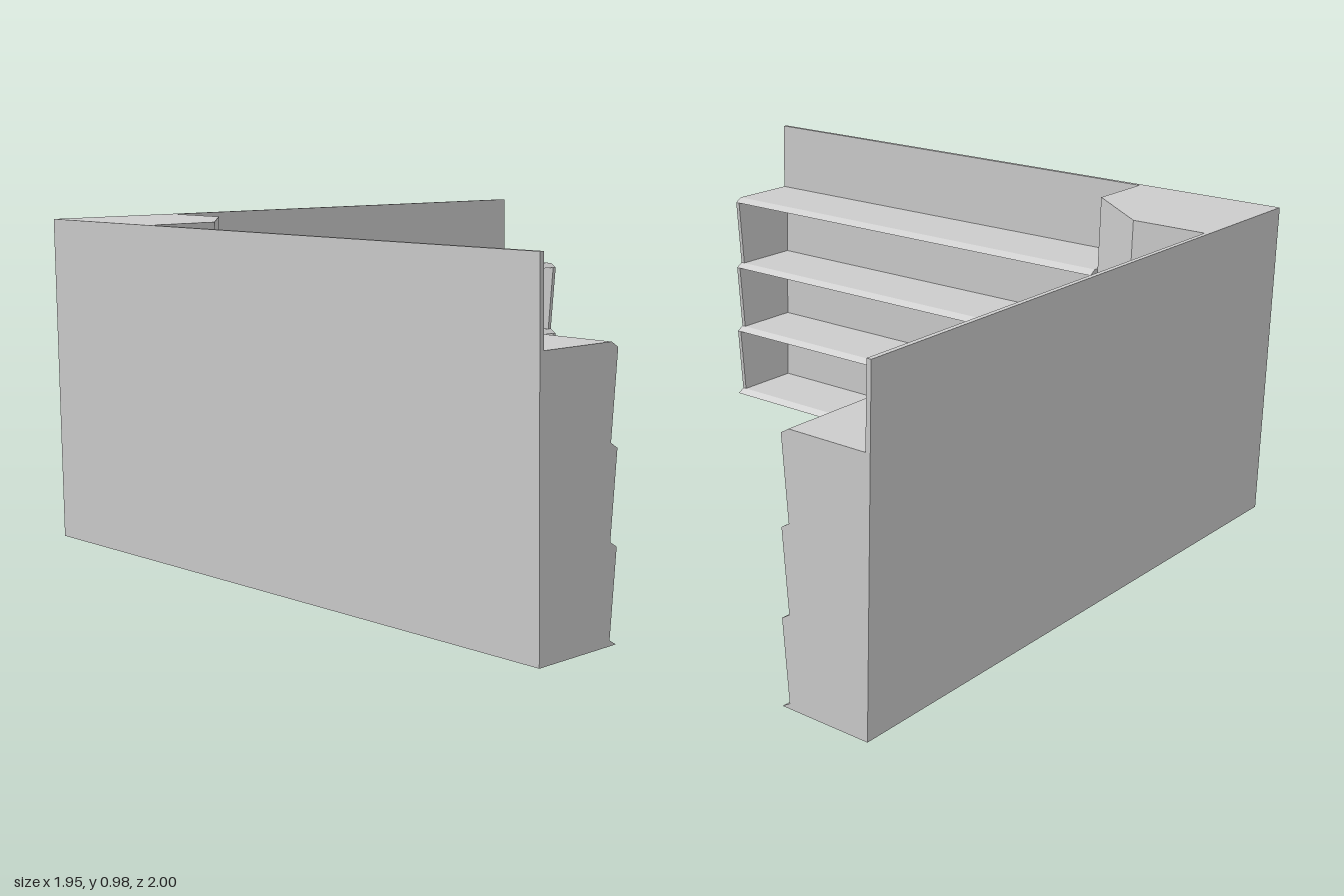
import * as THREE from 'three';

const HEIGHT = 0.977, LENGTH = 1.518, T = 0.014;
const DEPTH = 0.252, TIP = 0.276;              // shelf top depth, lip depth
const SHELF_TOPS = [0.015, 0.26, 0.504, 0.749];
const SHELF_T = 0.015;

const material = new THREE.MeshStandardMaterial({ color: 0xcccccc });

function part(name, geometry) {
  const mesh = new THREE.Mesh(geometry, material);
  mesh.name = name;
  return mesh;
}

function polygon(points) {
  return new THREE.Shape(points.map(([x, y]) => new THREE.Vector2(x, y)));
}

// Extrudes a (depth, height) profile along x, from x0 to x1
function extrudeAlongX(points, x0, x1) {
  const geometry = new THREE.ExtrudeGeometry(polygon(points), { depth: x1 - x0, bevelEnabled: false });
  return geometry.rotateY(-Math.PI / 2).translate(x1, 0, 0);
}

// Wall unit running along x, back at z = 0, opening towards +z
function createShelfUnit(name, panelAtStart) {
  const unit = new THREE.Group();
  unit.name = name;

  const back = new THREE.BoxGeometry(LENGTH, HEIGHT, T).translate(LENGTH / 2, HEIGHT / 2, T / 2);
  unit.add(part('backPanel', back));

  // Shelves with a bevelled front lip
  const start = panelAtStart ? T : 0;
  const end = panelAtStart ? LENGTH : LENGTH - T;
  for (const top of SHELF_TOPS) {
    const bottom = top - SHELF_T;
    const profile = [[T, bottom], [TIP, bottom], [DEPTH, top], [T, top]];
    unit.add(part('shelf', extrudeAlongX(profile, start, end)));
  }

  // End panel whose front edge steps out to each shelf lip
  const outline = [[T, 0]];
  for (const top of SHELF_TOPS) outline.push([TIP, top - SHELF_T], [DEPTH, top]);
  outline.push([T, SHELF_TOPS[3]]);
  const panelX = panelAtStart ? 0 : LENGTH - T;
  unit.add(part('endPanel', extrudeAlongX(outline, panelX, panelX + T)));
  return unit;
}

export function createModel() {
  const model = new THREE.Group();
  model.name = 'cornerShelving';

  const rearUnit = createShelfUnit('rearUnit', false);
  rearUnit.position.set(0.973 - LENGTH, 0, -1);
  model.add(rearUnit);

  const sideUnit = createShelfUnit('sideUnit', true);
  sideUnit.rotation.y = Math.PI / 2;
  sideUnit.position.set(-0.973, 0, 1);
  model.add(sideUnit);

  // Solid corner column with a diagonal front
  const footprint = polygon([
    [-0.973, 0.518], [-0.737, 0.518], [-0.545, 0.751], [-0.545, 1], [-0.973, 1],
  ]);
  const column = new THREE.ExtrudeGeometry(footprint, { depth: HEIGHT, bevelEnabled: false });
  model.add(part('cornerColumn', column.rotateX(-Math.PI / 2)));

  return model;
}
